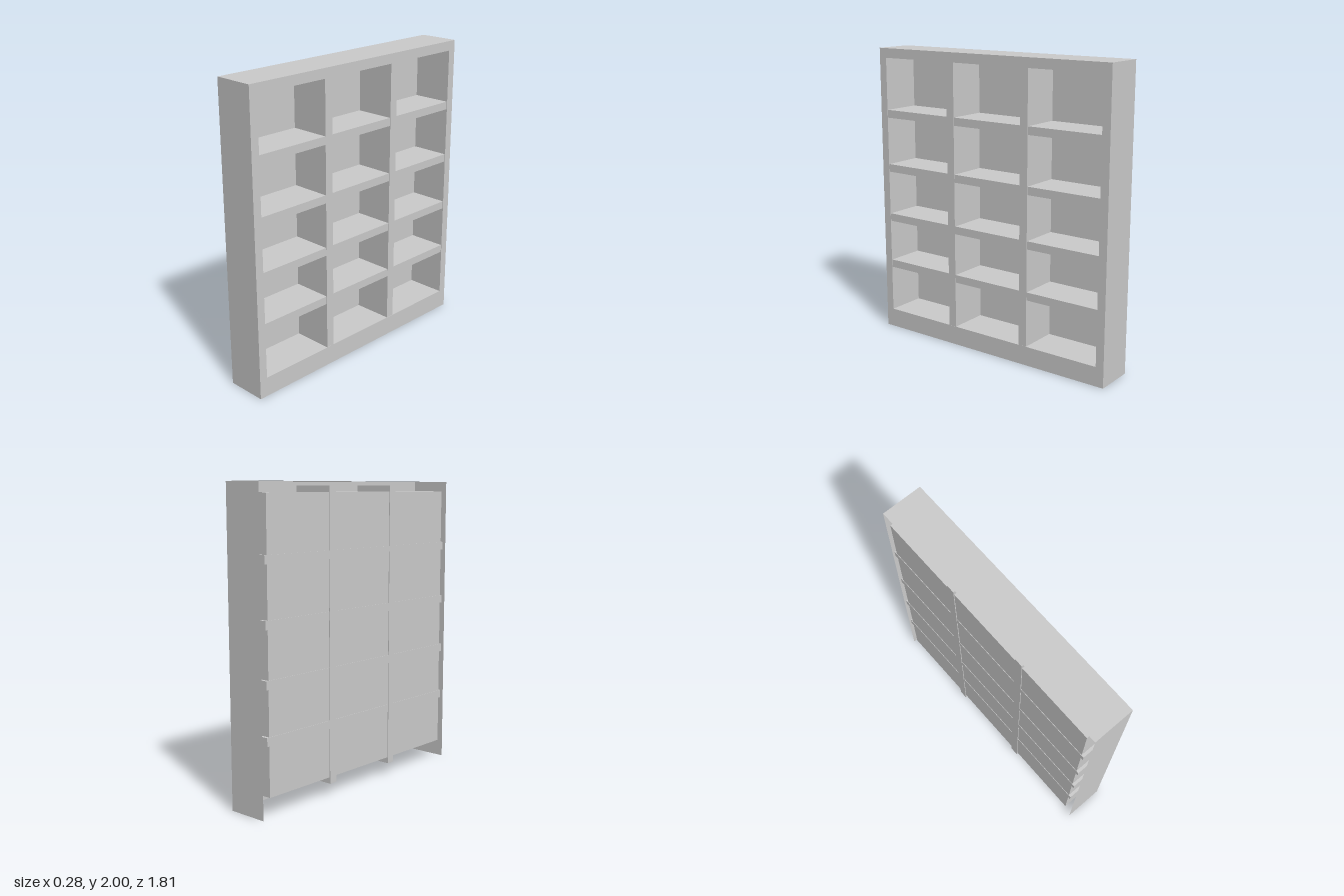
import * as THREE from 'three';

export function createModel() {
  const model = new THREE.Group();
  const material = new THREE.MeshStandardMaterial({ color: 0xcccccc, flatShading: true, side: THREE.DoubleSide });

  const FRONT = 0.14, BACK = -0.135;          // the open side faces +x
  const HALF = 0.907, HEIGHT = 2;             // outer shell
  const INNER = 0.851, FLOOR = 0.13, CEILING = 1.935; // inner liner

  const add = (name, geometry, x, y, z) => {
    const mesh = new THREE.Mesh(geometry, material);
    mesh.name = name;
    mesh.position.set(x, y, z);
    model.add(mesh);
    return mesh;
  };
  // Box given by its limits on each axis
  const box = (name, x0, x1, y0, y1, z0, z1) =>
    add(name, new THREE.BoxGeometry(x1 - x0, y1 - y0, z1 - z0), (x0 + x1) / 2, (y0 + y1) / 2, (z0 + z1) / 2);
  // Thin upright sheet across z, and thin level sheet across y
  const wall = (name, x0, x1, y0, y1, z) =>
    add(name, new THREE.PlaneGeometry(x1 - x0, y1 - y0).rotateY(z < 0 ? Math.PI : 0), (x0 + x1) / 2, (y0 + y1) / 2, z);
  const deck = (name, x0, x1, y, half) =>
    add(name, new THREE.PlaneGeometry(x1 - x0, 2 * half).rotateX(-Math.PI / 2), (x0 + x1) / 2, y, 0);

  // Face frame: rectangle with one large opening, turned to face +x
  const face = new THREE.Shape([
    new THREE.Vector2(-HALF, 0), new THREE.Vector2(HALF, 0),
    new THREE.Vector2(HALF, HEIGHT), new THREE.Vector2(-HALF, HEIGHT),
  ]);
  face.holes.push(new THREE.Path([
    new THREE.Vector2(-INNER, FLOOR), new THREE.Vector2(-INNER, CEILING),
    new THREE.Vector2(INNER, CEILING), new THREE.Vector2(INNER, FLOOR),
  ]));
  add('faceFrame', new THREE.ShapeGeometry(face).rotateY(Math.PI / 2), FRONT, 0, 0);

  // Outer shell, open at the back and the bottom
  deck('topPanel', BACK, FRONT, HEIGHT, HALF);
  for (const side of [-1, 1]) {
    wall('sidePanel', BACK, FRONT, 0, HEIGHT, side * HALF);
    wall('innerSide', BACK, FRONT, FLOOR, CEILING, side * INNER);
  }

  // Inner liner
  deck('innerTop', BACK, FRONT, CEILING, INNER);
  deck('innerFloor', BACK, FRONT, FLOOR, INNER);
  add('backPanel', new THREE.PlaneGeometry(2 * INNER, CEILING - FLOOR).rotateY(-Math.PI / 2),
    BACK, (FLOOR + CEILING) / 2, 0);

  // Dividers run past the liner at the top and bottom
  for (const z of [-0.294, 0.294]) {
    box('divider', -0.14, FRONT - 0.001, 0.088, 1.973, z - 0.029, z + 0.029);
  }

  // Shelves run slightly past the liner sides
  for (const top of [0.503, 0.845, 1.2, 1.58]) {
    box('shelf', -0.138, FRONT - 0.004, top - 0.054, top, -0.87, 0.87);
  }
  return model;
}
